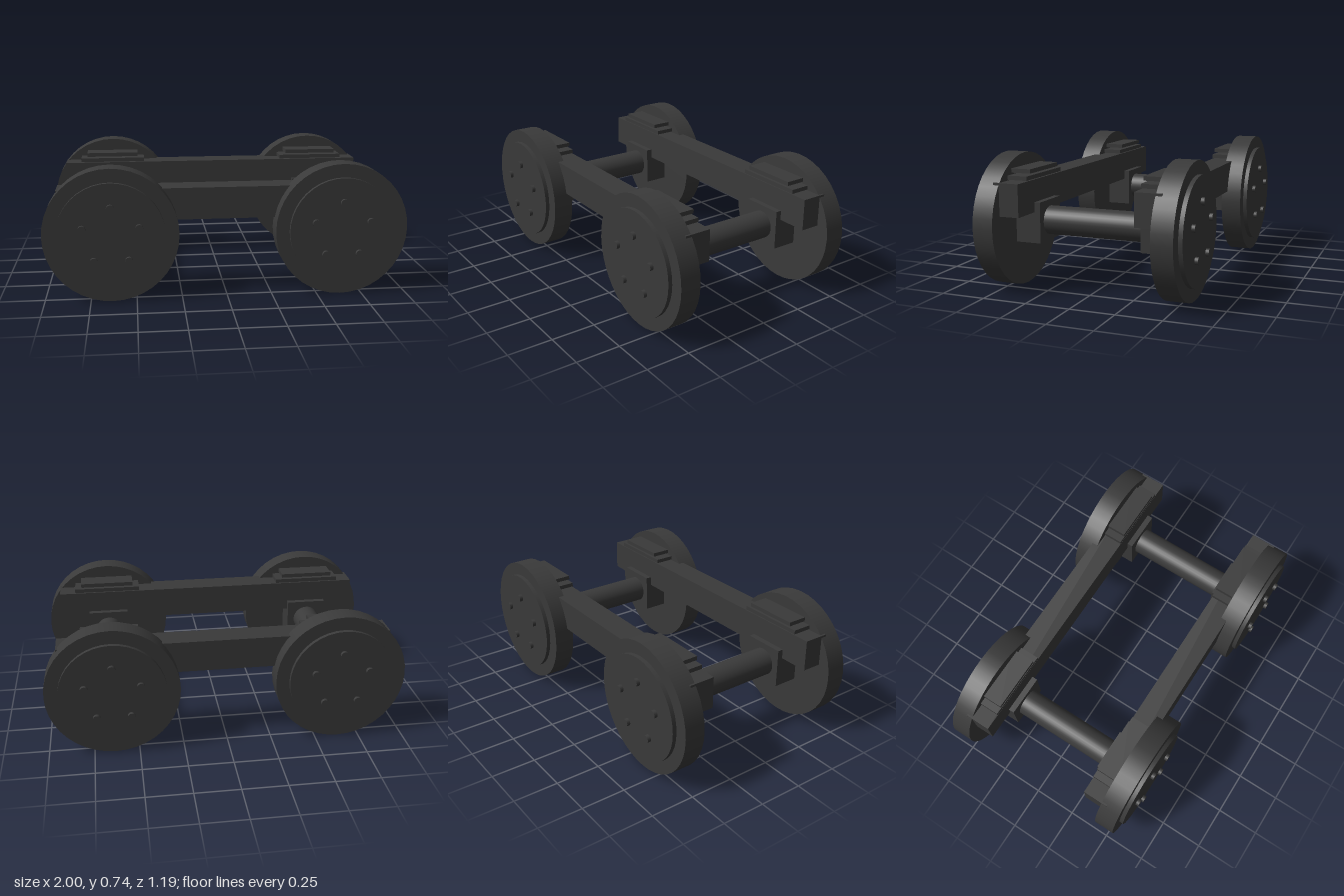
import * as THREE from 'three';

export function createModel() {
  const model = new THREE.Group();
  model.name = 'railTruck';
  const iron = new THREE.MeshStandardMaterial({ color: 0x3a3a3a });
  iron.name = 'dark iron';

  const AXLE_X = 0.632, AXLE_Y = 0.368;

  const add = (parent, name, geometry, x, y, z) => {
    const mesh = new THREE.Mesh(geometry, iron);
    mesh.name = name;
    mesh.position.set(x, y, z);
    parent.add(mesh);
  };
  // Box given by its limits in y and z, centred on x
  const block = (parent, name, x, width, y0, y1, z0, z1) =>
    add(parent, name, new THREE.BoxGeometry(width, y1 - y0, z1 - z0), x, (y0 + y1) / 2, (z0 + z1) / 2);
  // Cylinder lying along z between z0 and z1
  const disc = (parent, name, x, y, radius, z0, z1, sides) =>
    add(parent, name, new THREE.CylinderGeometry(radius, radius, z1 - z0, sides).rotateX(Math.PI / 2), x, y, (z0 + z1) / 2);

  for (const side of [1, -1]) {
    const half = new THREE.Group();
    half.name = side > 0 ? 'frontSide' : 'backSide';
    half.rotation.y = side > 0 ? 0 : Math.PI;
    model.add(half);

    block(half, 'sideBeam', 0, 1.845, 0.428, 0.605, 0.321, 0.467);

    for (const x of [-AXLE_X, AXLE_X]) {
      // Wheel with raised face and five bolts
      const wheel = new THREE.Group();
      wheel.name = 'wheel';
      half.add(wheel);
      disc(wheel, 'tread', x, AXLE_Y, 0.368, 0.433, 0.55, 40);
      disc(wheel, 'wheelFace', x, AXLE_Y, 0.294, 0.54, 0.573, 40);
      for (let i = 0; i < 5; i++) {
        const a = Math.PI / 2 + i * Math.PI * 2 / 5;
        disc(wheel, 'bolt', x + 0.16 * Math.cos(a), AXLE_Y + 0.16 * Math.sin(a), 0.021, 0.577, 0.596, 16);
      }
      // Bearing block and the stacked spring plates over it
      block(half, 'axleBox', x, 0.236, 0.258, 0.482, 0.288, 0.44);
      block(half, 'lowerSpringPlate', x, 0.393, 0.609, 0.632, 0.321, 0.467);
      block(half, 'upperSpringPlate', x, 0.315, 0.642, 0.665, 0.321, 0.467);
    }
  }

  // Axles joining each pair of wheels
  for (const x of [-AXLE_X, AXLE_X]) disc(model, 'axle', x, AXLE_Y, 0.079, -0.44, 0.44, 32);

  return model;
}
